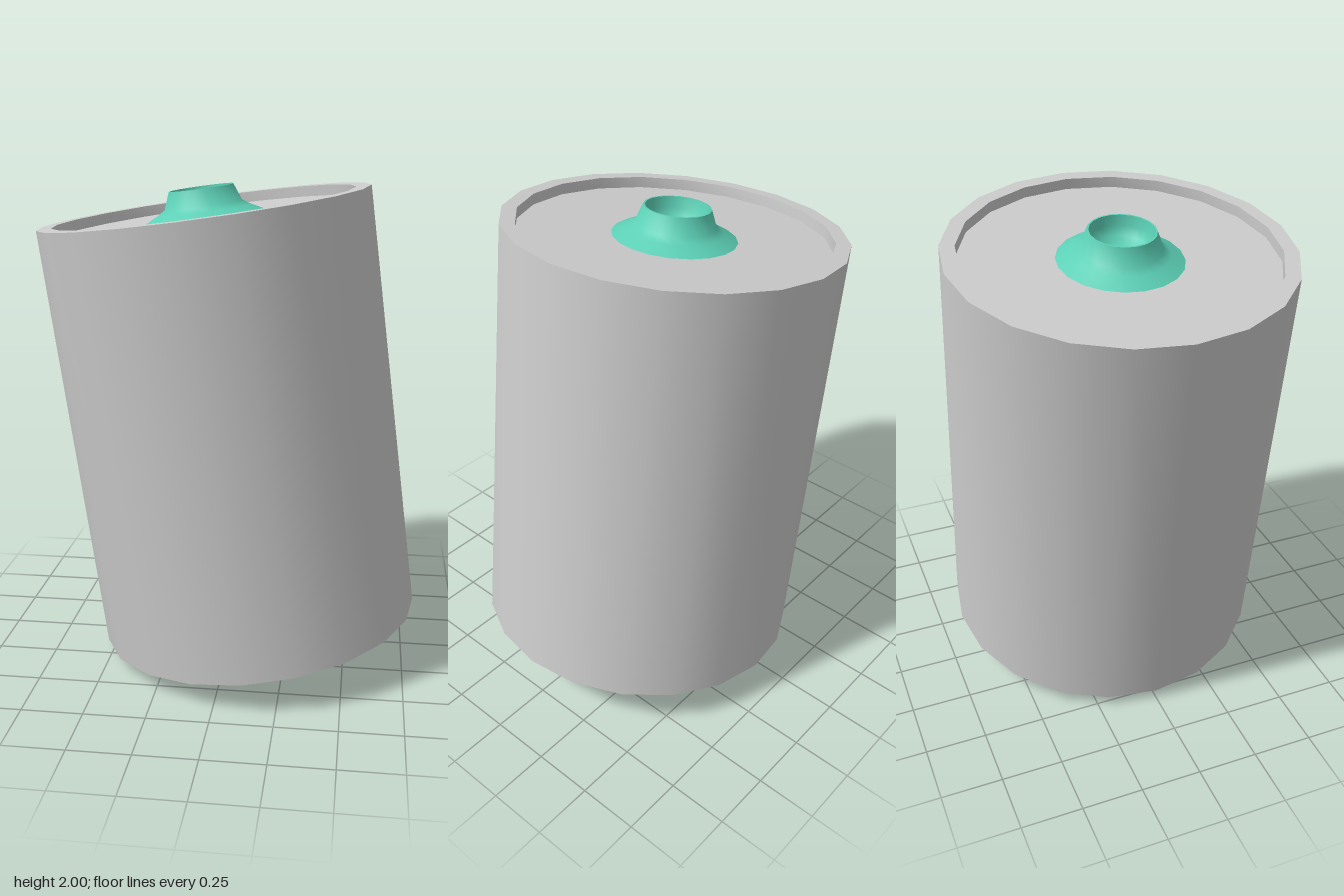
import * as THREE from 'three';
import { toCreasedNormals } from 'three/addons/utils/BufferGeometryUtils.js';

const SIDES = 20;

// Turned part from [radius, height] pairs, listed from the lower axis outward and upward
function turned(name, profile, material, crease) {
  const points = profile.map(([r, y]) => new THREE.Vector2(r, y));
  const geometry = toCreasedNormals(new THREE.LatheGeometry(points, SIDES), crease);
  const mesh = new THREE.Mesh(geometry, material);
  mesh.name = name;
  return mesh;
}

export function createModel() {
  const grey = new THREE.MeshStandardMaterial({ color: 0xcccccc });
  const green = new THREE.MeshStandardMaterial({ color: 0x5cd0b6, side: THREE.DoubleSide });

  const spool = new THREE.Group();
  spool.name = 'tiltedDrum';

  // Drum with a recessed disc at each end
  spool.add(turned('drum', [
    [0, -0.872], [0.62, -0.872], [0.62, -0.895], [0.68, -0.895],
    [0.68, 0.895], [0.62, 0.895], [0.62, 0.85], [0, 0.85],
  ], grey, 0.6));

  // Flared hollow hub: skirt, neck, lip, then the rounded socket inside
  const hub = (base, neck, tip, skirtR, neckR, lipR) => {
    const depth = tip - base;
    return [
      [skirtR, base], [neckR + 0.03, base + (neck - base) * 0.6], [neckR, neck],
      [lipR, tip], [lipR - 0.007, tip],
      [lipR - 0.012, tip - depth * 0.35], [lipR * 0.8, tip - depth * 0.65],
      [lipR * 0.45, tip - depth * 0.85], [0, tip - depth * 0.92],
    ];
  };
  spool.add(turned('topHub', hub(0.851, 0.9, 0.97, 0.248, 0.16, 0.133), green, 0.75));

  // Lower hub: same shape pointing down
  const lower = hub(0.873, 0.915, 1.006, 0.24, 0.165, 0.142);
  spool.add(turned('bottomHub', lower.map(([r, y]) => [r, -y]).reverse(), green, 0.75));

  // Lean the drum to its right
  spool.rotation.z = 0.134;
  spool.position.y = 1.016;

  const model = new THREE.Group();
  model.name = 'leaningDrum';
  model.add(spool);
  return model;
}
